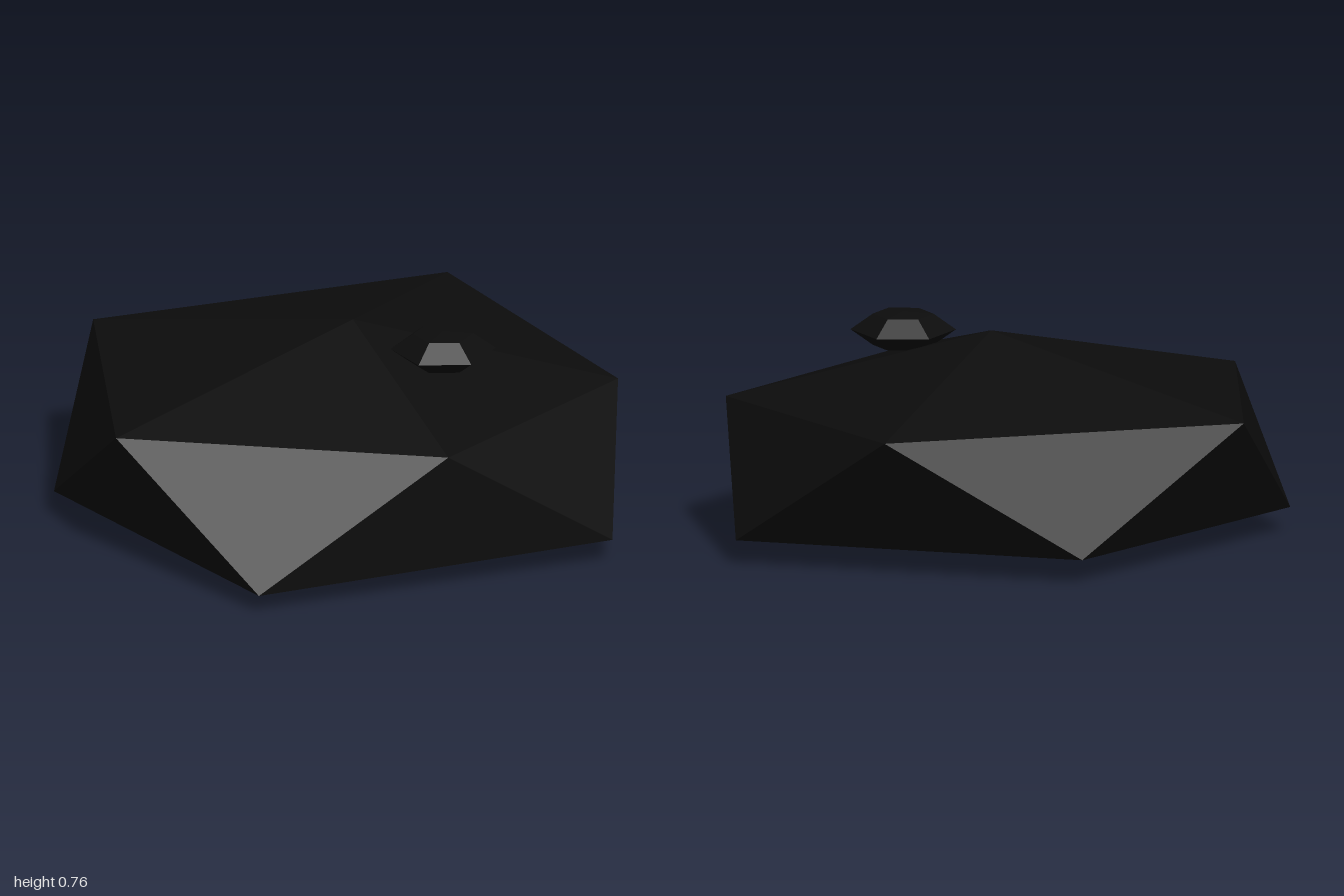
import * as THREE from 'three';

const material = new THREE.MeshStandardMaterial({ color: 0x0c0c0c, flatShading: true });

// Irregular twenty-faced stone: two poles and a zigzag belt of low and high corners
function stoneGeometry(top, bottom, belt) {
  const positions = [];
  const face = (...corners) => corners.forEach((c) => positions.push(...c));
  const n = belt.length;
  for (let i = 0; i < n; i++) {
    const a = belt[i], b = belt[(i + 1) % n], c = belt[(i + 2) % n];
    if (i % 2 === 0) {
      face(a, b, c);
      face(bottom, a, c);
    } else {
      face(a, c, b);
      face(top, c, a);
    }
  }
  const geometry = new THREE.BufferGeometry();
  geometry.setAttribute('position', new THREE.Float32BufferAttribute(positions, 3));
  geometry.computeVertexNormals();
  return geometry;
}

export function createModel() {
  const group = new THREE.Group();
  group.name = 'rock';

  // Large flat boulder, belt alternating low, high
  const belt = [
    [-1.0, 0.09, -0.02], [-0.84, 0.52, -0.58],
    [-0.27, 0.09, -0.88], [0.43, 0.53, -0.96],
    [0.96, 0.09, -0.57], [1.0, 0.49, -0.02],
    [0.96, 0.09, 0.52], [0.37, 0.5, 0.74],
    [-0.31, 0.07, 0.96], [-0.8, 0.5, 0.51],
  ];
  const boulder = new THREE.Mesh(
    stoneGeometry([0.06, 0.73, -0.02], [0.06, 0, -0.02], belt), material);
  boulder.name = 'boulder';
  group.add(boulder);

  // Small faceted pebble resting on the slope
  const profile = [[0, -0.067], [0.107, -0.057], [0.187, 0], [0.107, 0.057], [0, 0.067]]
    .map(([r, y]) => new THREE.Vector2(r, y));
  const pebble = new THREE.Mesh(new THREE.LatheGeometry(profile, 6, Math.PI / 6), material);
  pebble.name = 'pebble';
  pebble.position.set(0.373, 0.69, 0.17);
  group.add(pebble);

  return group;
}
